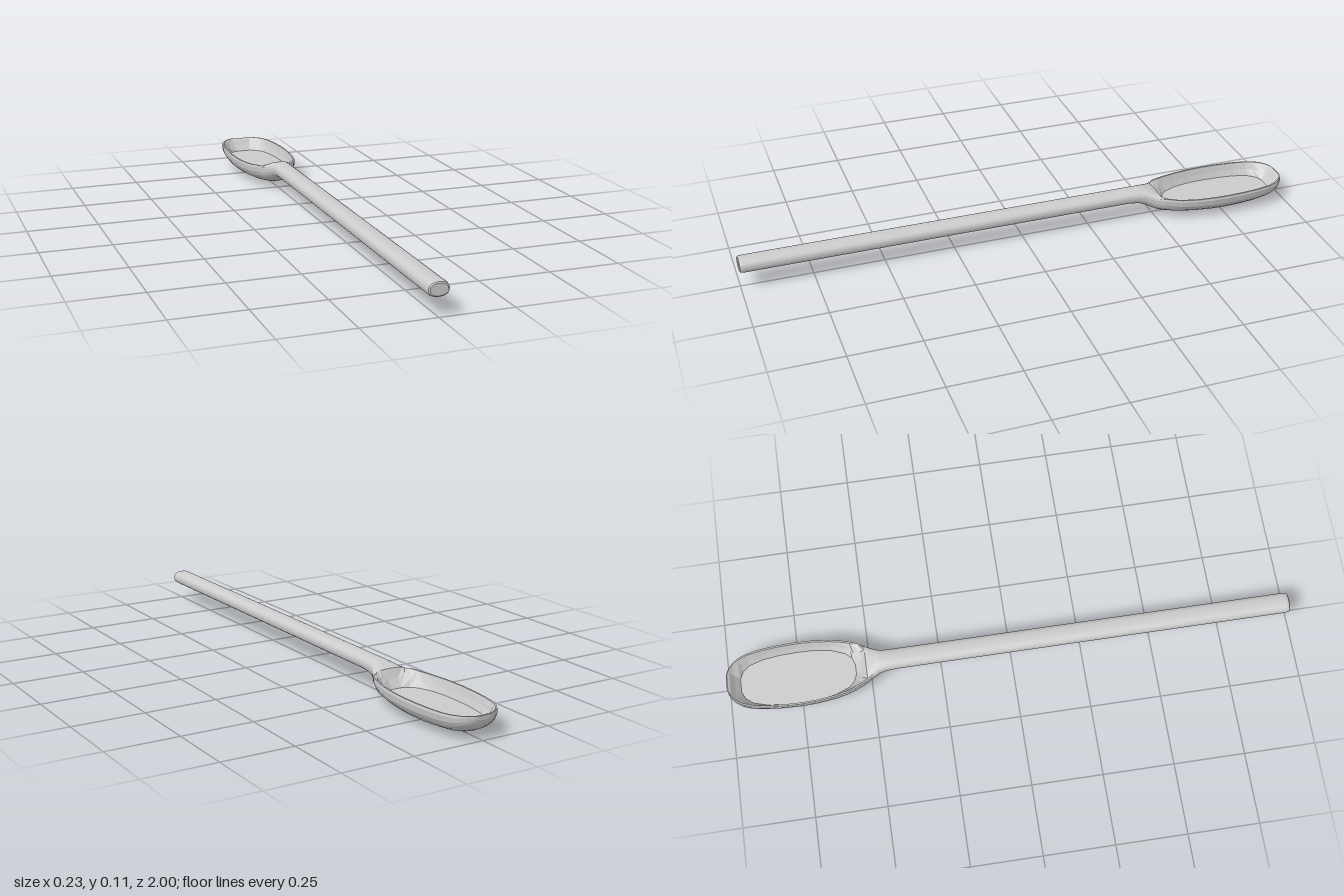
import * as THREE from 'three';

const ARC = 6; // segments per quarter of a cross-section

// Stations from the handle end to the bowl tip.
// Handle and neck: [z, half width, top y, bottom y, y of the widest point]
const handleStations = [
  [1, 0.029, 0.107, 0.068, 0.0875],
  [0.997, 0.034, 0.111, 0.064, 0.0875],
  [0.988, 0.036, 0.113, 0.062, 0.0875],
  [-0.4, 0.036, 0.113, 0.062, 0.0875],
  [-0.44, 0.037, 0.113, 0.056, 0.086],
  [-0.465, 0.042, 0.111, 0.046, 0.083],
  [-0.49, 0.054, 0.104, 0.032, 0.08],
  [-0.51, 0.066, 0.095, 0.023, 0.079],
];
// Bowl: [z, half width, rim y, bottom y, floor half width, floor y]
const bowlStations = [
  [-0.528, 0.076, 0.088, 0.018, 0.02, 0.064],
  [-0.55, 0.086, 0.086, 0.014, 0.018, 0.037],
  [-0.56, 0.09, 0.085, 0.013, 0.044, 0.037],
  [-0.58, 0.097, 0.084, 0.011, 0.063, 0.037],
  [-0.63, 0.108, 0.083, 0.007, 0.083, 0.037],
  [-0.69, 0.115, 0.083, 0.003, 0.092, 0.037],
  [-0.75, 0.117, 0.083, 0.001, 0.094, 0.037],
  [-0.81, 0.115, 0.083, 0.002, 0.092, 0.037],
  [-0.87, 0.11, 0.083, 0.006, 0.085, 0.037],
  [-0.92, 0.101, 0.083, 0.011, 0.07, 0.037],
  [-0.944, 0.092, 0.083, 0.016, 0.05, 0.037],
  [-0.956, 0.086, 0.083, 0.02, 0.024, 0.037],
  [-0.974, 0.073, 0.083, 0.029, 0.032, 0.057],
  [-0.988, 0.056, 0.083, 0.04, 0.036, 0.077],
  [-0.996, 0.039, 0.083, 0.053, 0.026, 0.082],
  [-1, 0.024, 0.081, 0.066, 0.014, 0.0805],
];

// Quarter of a rounded oval, from the side (0) to the pole (ARC)
function quarter(w, h, power) {
  return Array.from({ length: ARC + 1 }, (_, i) => {
    const a = (i / ARC) * Math.PI / 2;
    const c = i === ARC ? 0 : Math.cos(a);
    return [w * c ** (2 / power), h * Math.sin(a) ** (2 / power)];
  });
}

// Closed loop from the right-hand profiles of the upper and lower side
function mirrorLoop(upper, lower, z) {
  const flip = ([x, y]) => [-x, y];
  const loop = [
    ...upper,
    ...upper.slice(0, -1).reverse().map(flip),
    ...lower.slice(1).map(flip),
    ...lower.slice(1, -1).reverse(),
  ];
  return loop.map(([x, y]) => [x, y, z]);
}

function handleSection([z, w, top, bottom, side]) {
  const upper = quarter(w, top - side, 2.3).map(([x, y]) => [x, side + y]);
  const lower = quarter(w, side - bottom, 2.3).map(([x, y]) => [x, side - y]);
  return mirrorLoop(upper, lower, z);
}

function bowlSection([z, w, rim, bottom, floorW, floorY]) {
  const side = rim - Math.min(0.008, (rim - bottom) * 0.4);
  const inner = w - 0.008;
  const upper = [
    [w, side],
    [w - 0.002, rim],
    [inner, rim],
    [inner + (floorW - inner) * 0.45, rim + (floorY - rim) * 0.55],
    [floorW, floorY],
    [floorW / 2, floorY],
    [0, floorY],
  ];
  const lower = quarter(w, side - bottom, 2.15).map(([x, y]) => [x, side - y]);
  return mirrorLoop(upper, lower, z);
}

// Skin a row of equal loops and close both ends
function loft(loops) {
  const n = loops[0].length;
  const points = loops.flat();
  const index = [];
  for (let j = 0; j < loops.length - 1; j++) {
    for (let i = 0; i < n; i++) {
      const a = j * n + i, b = j * n + (i + 1) % n;
      index.push(a, a + n, b, b, a + n, b + n);
    }
  }
  const cap = (j, back) => {
    const ys = loops[j].map((p) => p[1]);
    const centre = points.push([0, (Math.min(...ys) + Math.max(...ys)) / 2, loops[j][0][2]]) - 1;
    for (let i = 0; i < n; i++) {
      const a = j * n + i, b = j * n + (i + 1) % n;
      index.push(centre, back ? b : a, back ? a : b);
    }
  };
  cap(0, false);
  cap(loops.length - 1, true);
  const geometry = new THREE.BufferGeometry();
  geometry.setAttribute('position', new THREE.Float32BufferAttribute(points.flat(), 3));
  geometry.setIndex(index);
  geometry.computeVertexNormals();
  return geometry;
}

export function createModel() {
  const group = new THREE.Group();
  group.name = 'spoon';
  // Handle, neck and bowl are one continuous carved body
  const body = new THREE.Mesh(
    loft([...handleStations.map(handleSection), ...bowlStations.map(bowlSection)]),
    new THREE.MeshStandardMaterial({ color: 0xcccccc, flatShading: true }),
  );
  body.name = 'handleAndBowl';
  group.add(body);
  return group;
}
